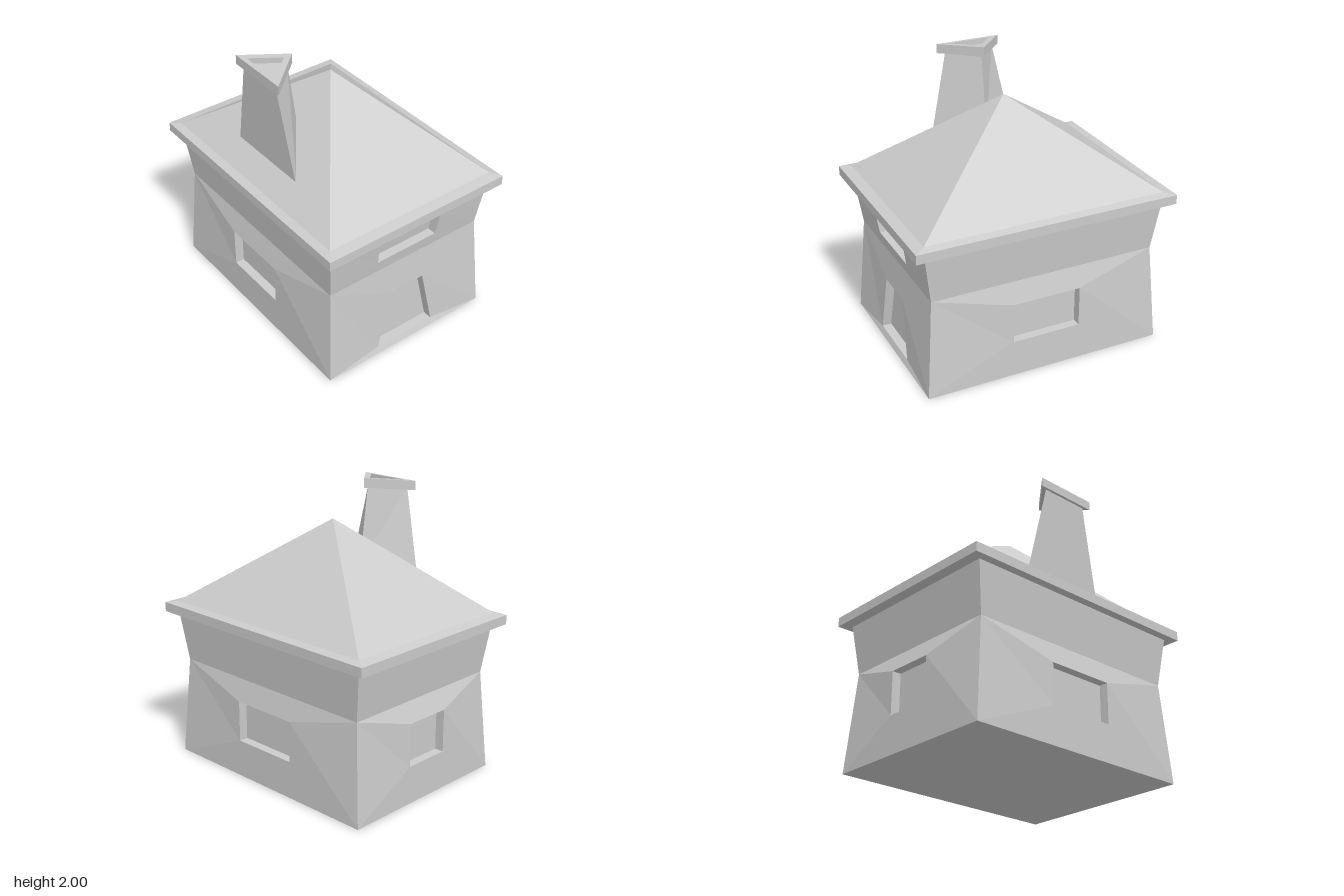
import * as THREE from 'three';

const V = (x, y, z) => new THREE.Vector3(x, y, z);

// Flat-shaded mesh from convex polygons, each fanned from its first corner
function polyMesh(name, polys) {
  const pts = [];
  for (const p of polys) {
    for (let i = 1; i < p.length - 1; i++) {
      const t = new THREE.Triangle(p[0], p[i], p[i + 1]);
      if (t.getArea() > 1e-7) pts.push(t.a, t.b, t.c);
    }
  }
  const geo = new THREE.BufferGeometry().setFromPoints(pts);
  geo.computeVertexNormals();
  const mesh = new THREE.Mesh(geo, new THREE.MeshStandardMaterial({ color: 0xcccccc, flatShading: true }));
  mesh.name = name;
  return mesh;
}

// Quads joining two loops of equal length
const bridge = (a, b) => a.map((p, i) => {
  const j = (i + 1) % a.length;
  return [p, a[j], b[j], b[i]];
});

// Closed solid through a stack of loops
function loft(name, rings) {
  const polys = [[...rings[0]].reverse(), rings[rings.length - 1]];
  for (let i = 0; i < rings.length - 1; i++) polys.push(...bridge(rings[i], rings[i + 1]));
  return polyMesh(name, polys);
}

const rect = (x, z, y) => [V(-x, y, z), V(x, y, z), V(x, y, -z), V(-x, y, -z)];

// Triangle pointing towards the ridge: outer edge at xo, tip at xi
const tri = (xo, yo, z, xi, yi) => [V(xo, yo, z), V(xi, yi, 0), V(xo, yo, -z)];

// Wall facing +z, optionally with a recessed opening
function wall(name, outer, hole, angle, depth = 0.065) {
  let polys = [outer];
  if (hole) {
    const inner = hole.map((p) => V(p.x, p.y, p.z - depth));
    polys = [...bridge(outer, hole), ...bridge(hole, inner), inner];
  }
  const mesh = polyMesh(name, polys);
  mesh.geometry.rotateY(angle);
  return mesh;
}

// Trapezoid in a wall: half width and distance at the bottom and at the top
const trapezoid = (w0, y0, d0, w1, y1, d1) =>
  [V(-w0, y0, d0), V(w0, y0, d0), V(w1, y1, d1), V(-w1, y1, d1)];

export function createModel() {
  const house = new THREE.Group();
  house.name = 'house';

  const X = 0.665, Z = 0.873, WX = 0.625, WZ = 0.82; // base and waist half sizes
  const WAIST = 0.71, EAVE = 1.08;

  const sides = [
    { name: 'front', angle: 0, w: X, d: Z, ww: WX, wd: WZ,
      low: trapezoid(0.237, 0.045, 0.855, 0.15, 0.475, 0.838),
      high: trapezoid(0.245, 0.8, 0.834, 0.26, 0.97, 0.86) },
    { name: 'right', angle: -Math.PI / 2, w: Z, d: X, ww: WZ, wd: WX,
      low: trapezoid(0.248, 0.265, X, 0.248, 0.555, X) },
    { name: 'back', angle: Math.PI, w: X, d: Z, ww: WX, wd: WZ,
      low: trapezoid(0.17, 0.27, Z, 0.17, 0.575, Z) },
    { name: 'left', angle: Math.PI / 2, w: Z, d: X, ww: WZ, wd: WX,
      low: trapezoid(0.248, 0.265, X, 0.248, 0.555, X) },
  ];

  // Walls pinch at the waist; the lower openings bulge out of it
  for (const s of sides) {
    house.add(
      wall(s.name + 'LowerWall', trapezoid(s.w, 0, s.d, s.ww, WAIST, s.wd), s.low, s.angle),
      wall(s.name + 'UpperWall', trapezoid(s.ww, WAIST, s.wd, s.w, EAVE, s.d), s.high, s.angle),
    );
  }
  house.add(polyMesh('floor', [rect(X, Z, 0).reverse()]));

  // Eaves slab and hipped roof
  house.add(loft('roof', [
    rect(0.723, 0.948, 1.063), rect(0.723, 0.948, 1.13),
    rect(0.667, 0.873, 1.145), rect(0, 0, 1.768),
  ]));

  // Three-sided chimney with a hollowed, tilted cap
  house.add(loft('chimney', [
    tri(-0.522, 1.2, 0.335, -0.272, 1.41),
    tri(-0.557, 1.92, 0.178, -0.345, 1.94),
  ]));
  house.add(loft('chimneyCap', [
    tri(-0.577, 1.91, 0.235, -0.305, 1.932),
    tri(-0.577, 1.975, 0.235, -0.305, 2.0),
    tri(-0.547, 1.978, 0.155, -0.367, 1.994),
    tri(-0.547, 1.938, 0.155, -0.367, 1.954),
  ]));

  return house;
}
